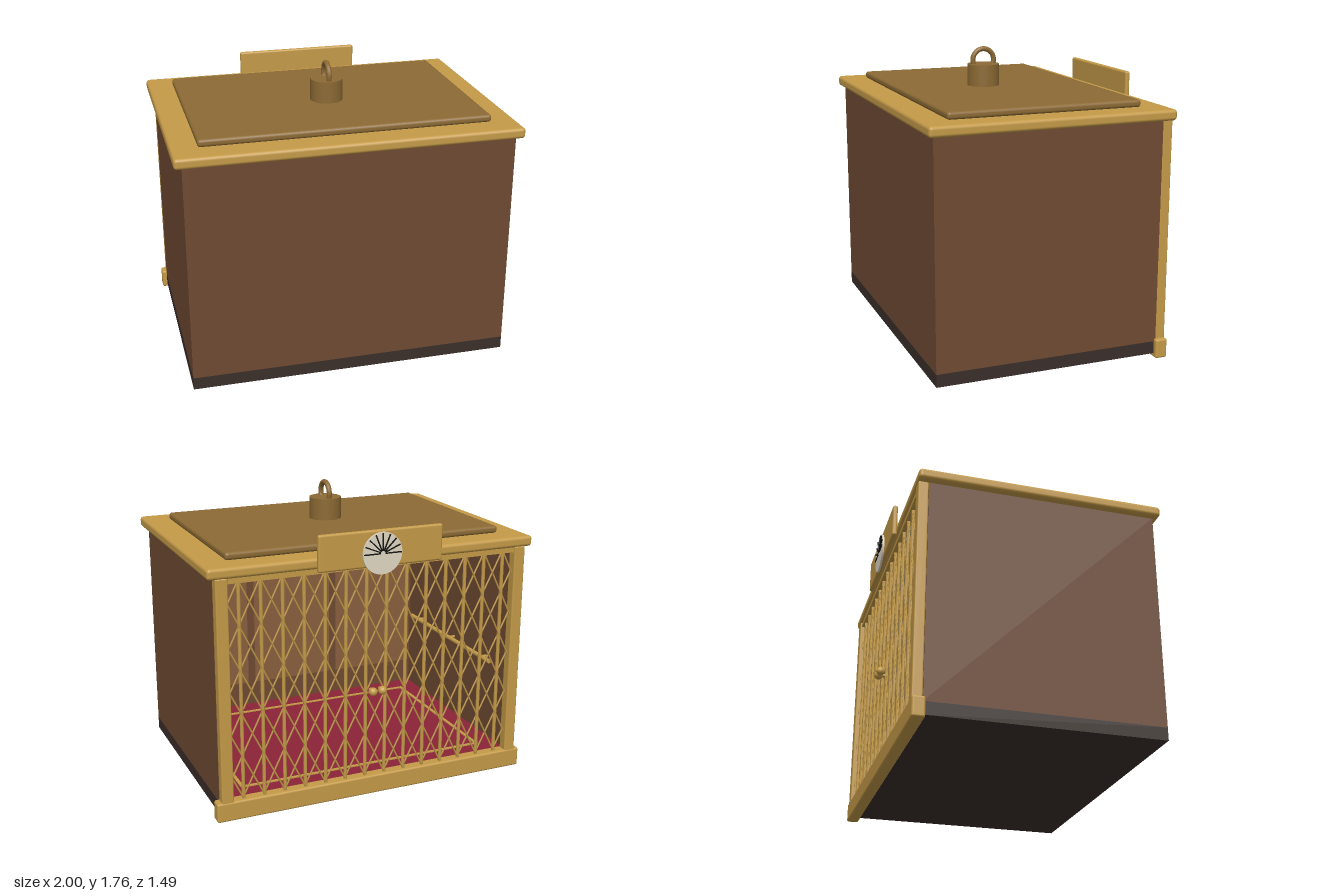
import * as THREE from 'three';
import { RoundedBoxGeometry } from 'three/addons/geometries/RoundedBoxGeometry.js';

const mat = (color, side = THREE.FrontSide) => new THREE.MeshStandardMaterial({ color, side });
const GOLD = mat(0xc49a48), BRONZE = mat(0x8c6a34), WOOD = mat(0x6f4a32), PANEL = mat(0x8a5f3e);
const DARK = mat(0x3a2e2a), CARPET = mat(0x8c2338), CREAM = mat(0xe0d8c4), BLACK = mat(0x151515);
const CEILING = mat(0xb0b4b0);

export function createModel() {
  const root = new THREE.Group();
  root.name = 'liftCar';

  const add = (name, geometry, material, x = 0, y = 0, z = 0, parent = root) => {
    const mesh = new THREE.Mesh(geometry, material);
    mesh.name = name;
    mesh.position.set(x, y, z);
    parent.add(mesh);
    return mesh;
  };
  // Box given by its limits on each axis; r rounds the edges
  const box = (name, material, [x0, x1], [y0, y1], [z0, z1], r = 0, parent = root) => {
    const s = [x1 - x0, y1 - y0, z1 - z0];
    const g = r ? new RoundedBoxGeometry(...s, 3, r) : new THREE.BoxGeometry(...s);
    return add(name, g, material, (x0 + x1) / 2, (y0 + y1) / 2, (z0 + z1) / 2, parent);
  };
  // Round rod between two points
  const rod = (name, material, a, b, r, sides = 8, parent = root) => {
    const p = new THREE.Vector3(...a), q = new THREE.Vector3(...b), d = q.clone().sub(p);
    const m = add(name, new THREE.CylinderGeometry(r, r, d.length(), sides), material, 0, 0, 0, parent);
    m.position.copy(p).add(q).multiplyScalar(0.5);
    m.quaternion.setFromUnitVectors(new THREE.Vector3(0, 1, 0), d.normalize());
    return m;
  };

  // Floor, carpet and its inlaid border
  box('floorBase', DARK, [-0.955, 0.955], [0.025, 0.1], [-0.64, 0.71]);
  box('carpet', CARPET, [-0.91, 0.91], [0.1, 0.11], [-0.63, 0.67]);
  for (const s of [-1, 1]) {
    const at = (c, w) => [s * c - w, s * c + w];
    box('carpetBorder', GOLD, at(0.78, 0.01), [0.108, 0.116], [-0.54, 0.54]);
    box('carpetBorder', GOLD, [-0.77, 0.77], [0.108, 0.116], at(0.53, 0.01));

    // Side walls with handrails, and the corner posts of the doorway
    box('sideWall', WOOD, at(0.935, 0.02), [0.1, 1.42], [-0.64, 0.71]);
    rod('handrail', GOLD, [s * 0.87, 0.64, -0.5], [s * 0.87, 0.64, 0.55], 0.014, 12);
    for (const z of [-0.4, 0.02, 0.45])
      rod('handrailBracket', GOLD, [s * 0.87, 0.64, z], [s * 0.92, 0.64, z], 0.009);
    box('doorPost', GOLD, at(0.92, 0.035), [0.1, 1.42], [-0.7, -0.64], 0.008);
  }

  // Closed wall with raised panels on the inside
  box('frontWall', WOOD, [-0.915, 0.915], [0.1, 1.42], [0.67, 0.71]);
  for (const x of [-0.6, 0, 0.6])
    box('wallPanel', PANEL, [x - 0.275, x + 0.275], [0.27, 1.3], [0.66, 0.672]);

  // Control plate with call buttons
  box('controlPlate', GOLD, [0.9, 0.917], [0.7, 0.92], [0.14, 0.28], 0.005);
  for (let i = 0; i < 6; i++)
    rod('callButton', CREAM, [0.892, 0.75 + 0.06 * (i >> 1), 0.18 + 0.06 * (i % 2)],
      [0.905, 0.75 + 0.06 * (i >> 1), 0.18 + 0.06 * (i % 2)], 0.015, 12);

  // Ceiling and light ring
  box('ceiling', CEILING, [-0.915, 0.915], [1.385, 1.42], [-0.64, 0.67]);
  add('ceilingRing', new THREE.TorusGeometry(0.21, 0.016, 10, 40).rotateX(Math.PI / 2), GOLD, 0, 1.375, 0.06);
  add('ceilingLamp', new THREE.CylinderGeometry(0.2, 0.19, 0.02, 40), CEILING, 0, 1.377, 0.06);

  // Roof: cornice, raised slab, hub and lifting eye
  box('cornice', GOLD, [-1, 1], [1.415, 1.478], [-0.705, 0.745], 0.02);
  box('roofSlab', BRONZE, [-0.85, 0.85], [1.475, 1.52], [-0.555, 0.595], 0.018);
  add('roofHub', new THREE.CylinderGeometry(0.097, 0.097, 0.14, 32), BRONZE, 0, 1.58, 0.075);
  add('liftingEye', new THREE.TorusGeometry(0.067, 0.0155, 12, 36).rotateY(Math.PI / 2), BRONZE, 0, 1.673, 0.075);

  // Doorway sill and top track
  box('sill', GOLD, [-0.985, 0.985], [0, 0.117], [-0.703, -0.63], 0.012);
  box('doorTrack', GOLD, [-0.89, 0.89], [1.385, 1.42], [-0.69, -0.65]);

  // Folding grille: upright bars joined by crossing diagonals
  const gate = new THREE.Group();
  gate.name = 'foldingGate';
  root.add(gate);
  const bars = 14, pitch = 0.126, rows = 5, y0 = 0.115, rowH = 1.275 / rows;
  for (let i = -1; i < bars; i++) {
    const x = (i - (bars - 1) / 2) * pitch;
    if (i >= 0) rod('gateBar', GOLD, [x, y0, -0.67], [x, 1.4, -0.67], 0.011, 8, gate);
    for (let j = 0; j < rows; j++) {
      const a = y0 + j * rowH, b = a + rowH;
      rod('gateDiagonal', GOLD, [x, a, -0.677], [x + pitch, b, -0.677], 0.0055, 5, gate);
      rod('gateDiagonal', GOLD, [x, b, -0.663], [x + pitch, a, -0.663], 0.0055, 5, gate);
    }
  }
  for (const x of [-0.03, 0.03]) {
    rod('knobStem', GOLD, [x, 0.65, -0.665], [x, 0.65, -0.7], 0.012, 10, gate);
    add('gateKnob', new THREE.SphereGeometry(0.026, 18, 12), GOLD, x, 0.65, -0.703, gate);
  }

  // Header plate with floor dial, tick marks fanned over the upper half
  box('headerPlate', GOLD, [-0.38, 0.38], [1.4, 1.61], [-0.732, -0.702], 0.012);
  const dial = new THREE.Group();
  dial.name = 'floorDial';
  dial.position.set(0, 1.478, -0.737);
  root.add(dial);
  add('dialFace', new THREE.CylinderGeometry(0.12, 0.12, 0.012, 40).rotateX(Math.PI / 2), CREAM, 0, 0, 0, dial);
  for (let i = 0; i < 9; i++) {
    const t = (i / 8) * Math.PI, c = Math.cos(t), s = Math.sin(t);
    const tick = add('dialTick', new THREE.BoxGeometry(0.1, 0.007, 0.006), BLACK, c * 0.065, s * 0.065, -0.008, dial);
    tick.rotation.z = t;
  }
  return root;
}
